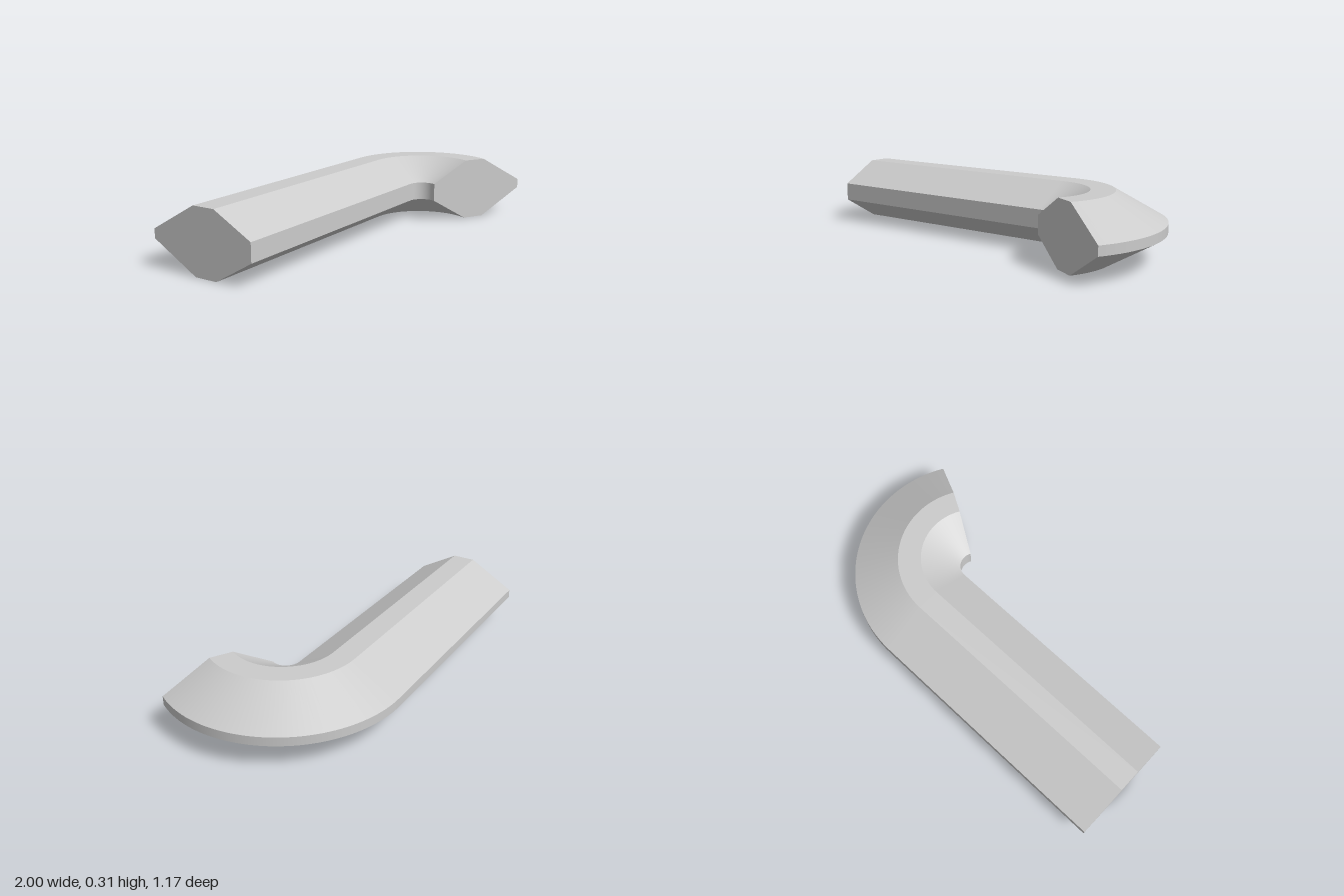
import * as THREE from 'three';
import { mergeGeometries } from 'three/addons/utils/BufferGeometryUtils.js';

// Bar cross-section as (distance from bend axis, height), counter-clockwise
const PROFILE = [
  [0.26, 0], [0.372, 0], [0.601, 0.132], [0.601, 0.176],
  [0.372, 0.307], [0.26, 0.307], [0.07, 0.2], [0.07, 0.112],
].map(([r, y]) => new THREE.Vector2(r, y));

const BEND = THREE.MathUtils.degToRad(120);
const LENGTH = 1.268;

export function createModel() {
  const group = new THREE.Group();
  group.name = 'bentBar';
  const material = new THREE.MeshStandardMaterial({ color: 0xcccccc });
  const shape = new THREE.Shape(PROFILE);

  const add = (name, geometry) => {
    const mesh = new THREE.Mesh(geometry, material);
    mesh.name = name;
    mesh.position.set(0.399, 0, 0.014);
    group.add(mesh);
    return mesh;
  };

  // Curved elbow: one swept band per profile side keeps the long edges sharp
  const bands = PROFILE.map((p, i) => new THREE.LatheGeometry(
    [p, PROFILE[(i + 1) % PROFILE.length]], 48, Math.PI / 2, BEND));
  add('elbow', mergeGeometries(bands));

  // Flat face closing the elbow
  add('elbowEnd', new THREE.ShapeGeometry(shape));

  // Straight arm leaving the elbow along its tangent
  const arm = new THREE.ExtrudeGeometry(shape, { depth: LENGTH, bevelEnabled: false });
  arm.translate(0, 0, -LENGTH);
  add('straightArm', arm).rotation.y = BEND;

  return group;
}
